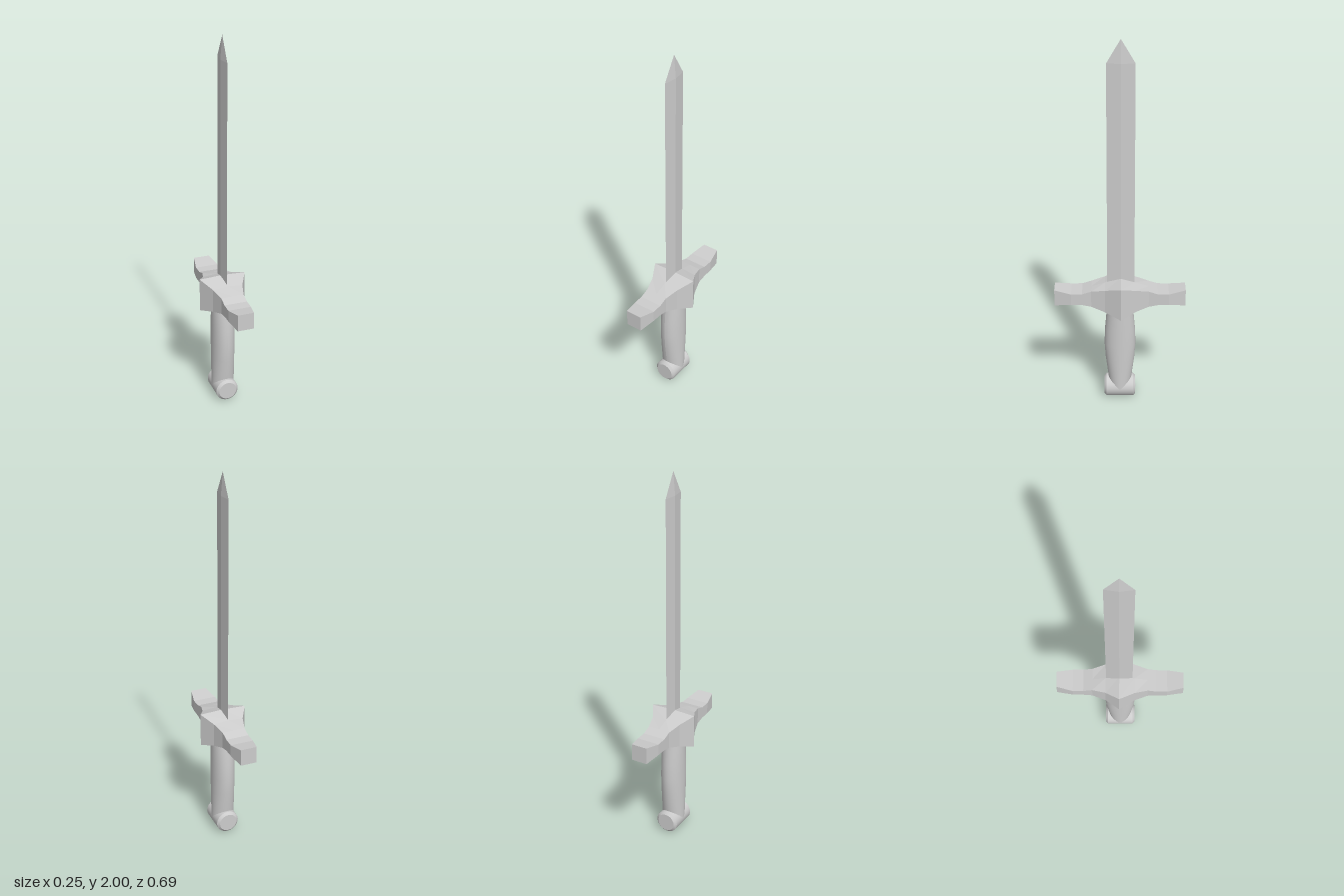
import * as THREE from 'three';

const steel = new THREE.MeshStandardMaterial({ color: 0xcccccc });
steel.name = 'steel grey';

// Gives every face its own normal
function faceted(geometry) {
  const flat = geometry.index ? geometry.toNonIndexed() : geometry;
  flat.computeVertexNormals();
  return flat;
}

// Skins closed rings of equal point count and caps both ends
function loft(rings) {
  const n = rings[0].length;
  const last = (rings.length - 1) * n;
  const index = [];
  for (let r = 0; r < rings.length - 1; r++) {
    for (let i = 0; i < n; i++) {
      const a = r * n + i, b = r * n + (i + 1) % n;
      index.push(a, b, a + n, b, b + n, a + n);
    }
  }
  for (let i = 1; i < n - 1; i++) {
    index.push(0, i + 1, i, last, last + i, last + i + 1);
  }
  const geometry = new THREE.BufferGeometry();
  geometry.setAttribute('position', new THREE.Float32BufferAttribute(rings.flat(2), 3));
  geometry.setIndex(index);
  return faceted(geometry);
}

export function createModel() {
  const group = new THREE.Group();
  group.name = 'sword';
  const add = (name, geometry) => {
    const mesh = new THREE.Mesh(geometry, steel);
    mesh.name = name;
    group.add(mesh);
    return mesh;
  };

  // Blade: diamond section with a four-sided point
  const bladeHalf = [0.01, 1, 0.071];
  const blade = add('blade', faceted(
    new THREE.CylinderGeometry(1, 1, 1.22, 4, 1, true).scale(...bladeHalf)));
  blade.position.set(0, 1.27, -0.004);
  const tip = add('bladeTip', faceted(
    new THREE.ConeGeometry(1, 0.12, 4, 1, true).scale(...bladeHalf)));
  tip.position.set(0, 1.94, -0.004);

  // Crossguard sections: distance from centre, half width, bottom, top, top middle
  const half = [
    [0.078, 0.081, 0.56, 0.688, 0.694],
    [0.15, 0.061, 0.582, 0.672, 0.672],
    [0.198, 0.061, 0.592, 0.656, 0.656],
    [0.255, 0.061, 0.594, 0.655, 0.655],
    [0.343, 0.043, 0.58, 0.67, 0.67],
  ];
  const sections = [
    ...half.map(([d, ...s]) => [-d, ...s]).reverse(),
    [-0.004, 0.125, 0.535, 0.716, 0.721],
    ...half,
  ];
  add('crossguard', loft(sections.map(([z, w, low, high, mid]) => [
    [-w, low, z], [w, low, z], [w, high, z], [0, mid, z], [-w, high, z],
  ])));

  // Grip: constant width, swelling from front to back
  const profile = [
    [0.06, 0.054], [0.12, 0.062], [0.24, 0.077], [0.33, 0.083],
    [0.42, 0.08], [0.5, 0.073], [0.56, 0.067], [0.62, 0.062],
  ];
  const sides = 32;
  const gripGeometry = new THREE.CylinderGeometry(1, 1, 1, sides, profile.length - 1, true);
  const pos = gripGeometry.attributes.position;
  for (let i = 0; i < pos.count; i++) {
    const row = Math.floor(i / (sides + 1));
    const [y, depth] = profile[profile.length - 1 - row];
    pos.setXYZ(i, pos.getX(i) * 0.061, y, pos.getZ(i) * depth);
  }
  gripGeometry.computeVertexNormals();
  add('grip', gripGeometry);

  // Pommel: short bar lying front to back with bevelled ends
  const barrel = add('pommel', new THREE.CylinderGeometry(0.061, 0.061, 0.144, 32, 1, true));
  barrel.rotation.x = Math.PI / 2;
  barrel.position.set(0, 0.061, 0.001);
  for (const side of [-1, 1]) {
    const bevel = add(side > 0 ? 'pommelFrontEnd' : 'pommelBackEnd',
      new THREE.CylinderGeometry(0.048, 0.061, 0.012, 32));
    bevel.rotation.x = side * Math.PI / 2;
    bevel.position.set(0, 0.061, 0.001 + side * 0.078);
  }

  return group;
}
